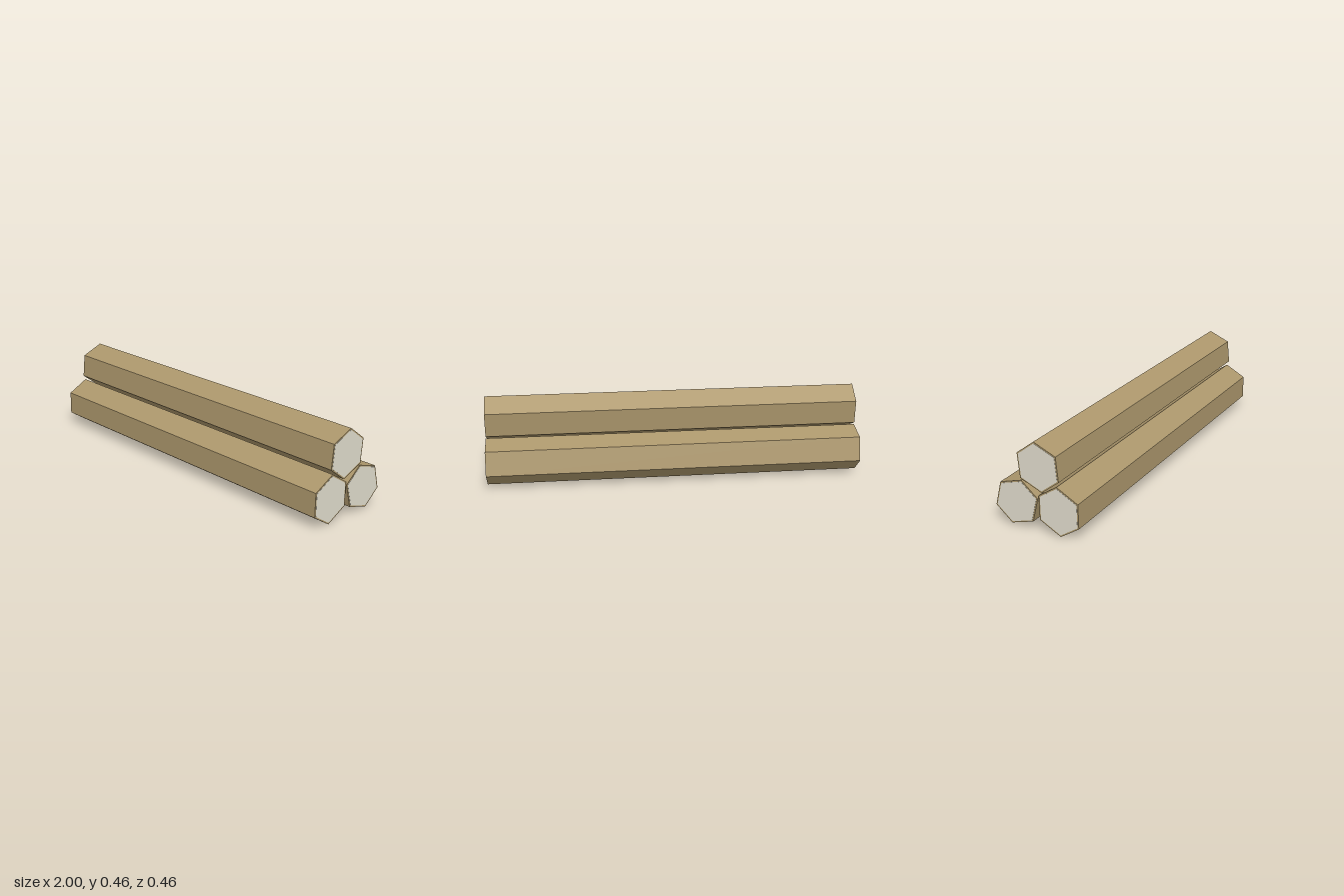
import * as THREE from 'three';

const bark = new THREE.MeshStandardMaterial({ color: 0xac976c, flatShading: true });
const wood = new THREE.MeshStandardMaterial({ color: 0xdedacb, flatShading: true });

// Each log: centre [z, y] and three corners relative to it; the other three lie opposite
const LOGS = [
  { name: 'topLog', centre: [0.0145, 0.331], corners: [[-0.018, 0.125], [0.099, 0.073], [0.112, -0.053]] },
  { name: 'frontLog', centre: [0.122, 0.127], corners: [[-0.008, 0.126], [0.105, 0.063], [0.107, -0.062]] },
  { name: 'backLog', centre: [-0.11, 0.129], corners: [[0.031, 0.118], [0.119, 0.041], [0.089, -0.084]] },
];

// Six-sided prism along x, centred on x = 0
function hexPrism(corners, scale, length) {
  const half = corners.map(([z, y]) => new THREE.Vector2(-z, y).multiplyScalar(scale));
  const outline = [...half, ...half.map((p) => p.clone().negate())];
  const geometry = new THREE.ExtrudeGeometry(new THREE.Shape(outline), { depth: length, bevelEnabled: false });
  geometry.translate(0, 0, -length / 2);
  geometry.rotateY(Math.PI / 2);
  return geometry;
}

export function createModel() {
  const model = new THREE.Group();
  model.name = 'logPile';

  for (const { name, centre, corners } of LOGS) {
    const log = new THREE.Group();
    log.name = name;
    log.position.set(0, centre[1], centre[0]);

    // Bark body, whose ends show as a thin rim
    const body = new THREE.Mesh(hexPrism(corners, 1, 1.998), bark);
    body.name = 'bark';

    // Pale heartwood showing at both cut ends
    const core = new THREE.Mesh(hexPrism(corners, 0.935, 2), wood);
    core.name = 'heartwood';

    log.add(body, core);
    model.add(log);
  }
  return model;
}
